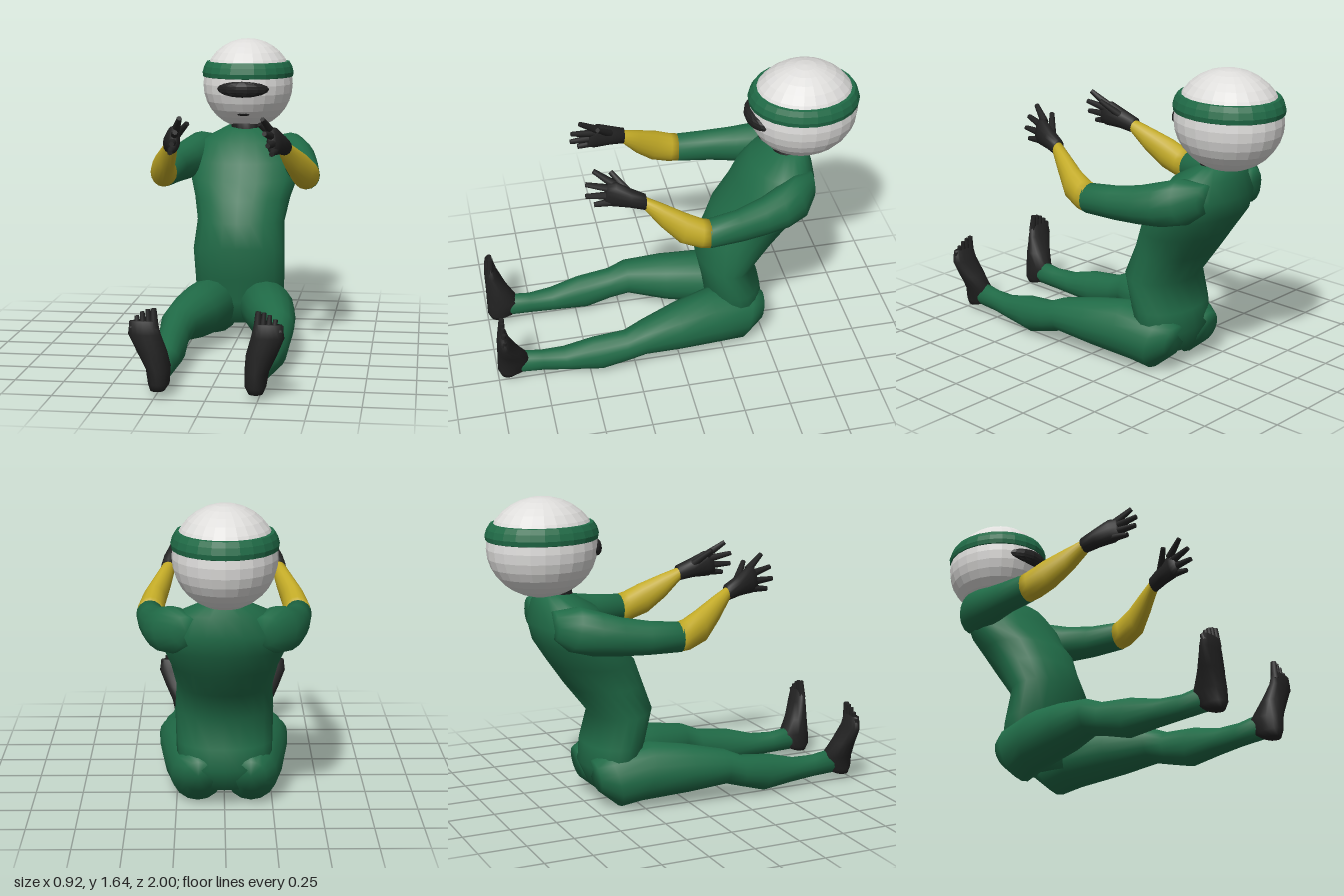
import * as THREE from 'three';

const material = (name, color) => {
  const m = new THREE.MeshStandardMaterial({ color });
  m.name = name;
  return m;
};

// Skin through elliptical rings. Row: [centre x, half width, y1, z1, y2, z2],
// where (y1,z1) and (y2,z2) are opposite points of the ring in the side plane.
function loft(rows, side = 1, n = 16) {
  const pos = [], idx = [];
  for (const [cx, hw, y1, z1, y2, z2] of rows) {
    for (let i = 0; i < n; i++) {
      const a = (i / n) * Math.PI * 2, s = Math.sin(a) / 2;
      pos.push(cx * side + hw * Math.cos(a),
        (y1 + y2) / 2 + (y1 - y2) * s, (z1 + z2) / 2 + (z1 - z2) * s);
    }
  }
  for (let r = 0; r < rows.length - 1; r++) {
    for (let i = 0; i < n; i++) {
      const a = r * n + i, b = r * n + (i + 1) % n;
      idx.push(a, b, a + n, b, b + n, a + n);
    }
  }
  // End caps
  [[0, true], [rows.length - 1, false]].forEach(([r, first]) => {
    const [cx, , y1, z1, y2, z2] = rows[r], c = pos.length / 3;
    pos.push(cx * side, (y1 + y2) / 2, (z1 + z2) / 2);
    for (let i = 0; i < n; i++) {
      const a = r * n + i, b = r * n + (i + 1) % n;
      if (first) idx.push(c, b, a); else idx.push(c, a, b);
    }
  });
  const g = new THREE.BufferGeometry();
  g.setAttribute('position', new THREE.Float32BufferAttribute(pos, 3));
  g.setIndex(idx);
  g.computeVertexNormals();
  return g;
}

// Tapered round stick between two points, for fingers and toes
function stick(from, to, r0, r1) {
  const a = new THREE.Vector3(...from), b = new THREE.Vector3(...to);
  const d = b.clone().sub(a);
  const g = new THREE.CylinderGeometry(r1, r0, d.length(), 7);
  g.applyQuaternion(new THREE.Quaternion().setFromUnitVectors(
    new THREE.Vector3(0, 1, 0), d.clone().normalize()));
  const m = a.add(b).multiplyScalar(0.5);
  return g.translate(m.x, m.y, m.z);
}

function faceted(g) {
  const f = g.toNonIndexed();
  f.computeVertexNormals();
  return f;
}

const HEAD = { y: 1.395, z: -0.707, rx: 0.257, ry: 0.257, rz: 0.287 };

// Flattened lozenge wrapped onto the front of the head
function facePatch(y, hx, hy, hz) {
  const g = new THREE.SphereGeometry(1, 14, 8);
  const p = g.attributes.position;
  for (let i = 0; i < p.count; i++) {
    const x = p.getX(i) * hx;
    const py = y + p.getY(i) * hy;
    const k = 1 - (x / HEAD.rx) ** 2 - ((py - HEAD.y) / HEAD.ry) ** 2;
    p.setXYZ(i, x, py, HEAD.z + HEAD.rz * Math.sqrt(k) + p.getZ(i) * hz);
  }
  return faceted(g);
}

export function createModel() {
  const model = new THREE.Group();
  const green = material('suit green', 0x206b47);
  const yellow = material('forearm yellow', 0xc2aa26);
  const black = material('glove black', 0x222222);
  const white = material('head white', 0xdedddb);
  const add = (name, geometry, mat, parent = model) => {
    const m = new THREE.Mesh(geometry, mat);
    m.name = name;
    parent.add(m);
    return m;
  };

  // Head with headband, eye patch and mouth
  const skull = new THREE.SphereGeometry(1, 24, 16);
  skull.scale(HEAD.rx, HEAD.ry, HEAD.rz).translate(0, HEAD.y, HEAD.z);
  add('head', faceted(skull), white);
  const band = new THREE.LatheGeometry([
    [0.245, 1.432], [0.258, 1.438], [0.262, 1.462], [0.253, 1.495], [0.238, 1.521], [0.215, 1.523],
  ].map(([x, y]) => new THREE.Vector2(x, y)), 24);
  band.scale(1, 1, 1.117).translate(0, 0, HEAD.z);
  add('headband', faceted(band), green);
  add('eyePatch', facePatch(1.38, 0.147, 0.045, 0.026), black);
  add('mouth', facePatch(1.235, 0.035, 0.008, 0.006), black);

  // Neck and torso, top to bottom
  add('neck', loft([
    [0, 0.085, 1.21, -0.56, 1.21, -0.72],
    [0, 0.09, 1.1, -0.55, 1.1, -0.71],
  ]), black);
  add('torso', loft([
    [0, 0.11, 1.15, -0.56, 1.165, -0.73],
    [0, 0.24, 1.08, -0.44, 1.1, -0.755],
    [0, 0.3, 0.97, -0.36, 1.0, -0.775],
    [0, 0.305, 0.87, -0.31, 0.9, -0.75],
    [0, 0.27, 0.78, -0.23, 0.78, -0.675],
    [0, 0.245, 0.66, -0.185, 0.65, -0.585],
    [0, 0.255, 0.53, -0.14, 0.48, -0.45],
    [0, 0.25, 0.35, -0.18, 0.33, -0.495],
    [0, 0.245, 0.22, -0.2, 0.22, -0.513],
    [0, 0.17, 0.1, -0.23, 0.1, -0.46],
  ], 1, 20), green);

  for (const s of [1, -1]) {
    const label = s > 0 ? 'left' : 'right';

    // Leg, hip to ankle
    add(label + 'Leg', loft([
      [0.135, 0.08, 0.27, -0.5, 0.1, -0.47],
      [0.14, 0.135, 0.31, -0.43, 0.008, -0.36],
      [0.165, 0.152, 0.345, -0.19, 0.035, -0.26],
      [0.212, 0.132, 0.32, 0, 0.06, 0],
      [0.26, 0.095, 0.28, 0.2, 0.09, 0.2],
      [0.266, 0.08, 0.235, 0.3, 0.06, 0.3],
      [0.26, 0.08, 0.215, 0.48, 0.02, 0.43],
      [0.25, 0.065, 0.17, 0.64, 0.037, 0.6],
      [0.24, 0.05, 0.165, 0.76, 0.045, 0.75],
      [0.237, 0.048, 0.18, 0.86, 0.05, 0.9],
    ], s), green);

    // Foot standing on its heel, ball to heel, with toes
    const foot = new THREE.Group();
    foot.name = label + 'Foot';
    model.add(foot);
    add('sole', loft([
      [0.3, 0.068, 0.385, 0.99, 0.385, 0.942],
      [0.297, 0.08, 0.32, 0.998, 0.32, 0.925],
      [0.265, 0.075, 0.23, 0.998, 0.23, 0.878],
      [0.24, 0.06, 0.14, 1.0, 0.15, 0.82],
      [0.235, 0.052, 0.075, 1.0, 0.065, 0.85],
      [0.238, 0.035, 0.04, 0.985, 0.04, 0.91],
    ], s), black, foot);
    for (let i = 0; i < 5; i++) {
      const x = 0.247 + i * 0.027;
      add('toe', stick([x * s, 0.35, 0.967], [(x + 0.006) * s, 0.445 - i * i * 0.004, 0.96],
        i ? 0.017 : 0.021, i ? 0.011 : 0.015), black, foot);
    }

    // Upper arm and forearm
    add(label + 'UpperArm', loft([
      [0.19, 0.07, 1.1, -0.72, 0.95, -0.72],
      [0.255, 0.1, 1.125, -0.61, 0.9, -0.67],
      [0.295, 0.107, 1.1, -0.52, 0.875, -0.56],
      [0.33, 0.092, 1.07, -0.42, 0.87, -0.44],
      [0.365, 0.077, 1.045, -0.28, 0.87, -0.3],
      [0.388, 0.072, 1.03, -0.12, 0.873, -0.12],
    ], s), green);
    add(label + 'Forearm', loft([
      [0.388, 0.071, 1.03, -0.13, 0.875, -0.12],
      [0.385, 0.071, 1.04, -0.09, 0.88, -0.07],
      [0.37, 0.062, 1.08, -0.01, 0.915, 0.03],
      [0.33, 0.048, 1.13, 0.1, 1.0, 0.12],
      [0.295, 0.036, 1.17, 0.2, 1.1, 0.2],
    ], s), yellow);

    // Open hand with spread fingers and thumb
    const hand = new THREE.Group();
    hand.name = label + 'Hand';
    model.add(hand);
    add('palm', loft([
      [0.297, 0.04, 1.18, 0.185, 1.095, 0.195],
      [0.28, 0.045, 1.215, 0.26, 1.11, 0.27],
      [0.26, 0.038, 1.255, 0.33, 1.115, 0.36],
      [0.252, 0.022, 1.25, 0.37, 1.13, 0.395],
    ], s), black, hand);
    [
      [[0.245, 1.235, 0.34], [0.21, 1.305, 0.435]],
      [[0.25, 1.21, 0.35], [0.225, 1.238, 0.48]],
      [[0.257, 1.175, 0.36], [0.242, 1.178, 0.485]],
      [[0.265, 1.14, 0.35], [0.258, 1.13, 0.445]],
      [[0.26, 1.19, 0.27], [0.185, 1.27, 0.345]],
    ].forEach(([a, b], i) => add(i < 4 ? 'finger' : 'thumb',
      stick([a[0] * s, a[1], a[2]], [b[0] * s, b[1], b[2]], 0.022, 0.013), black, hand));
  }
  return model;
}
